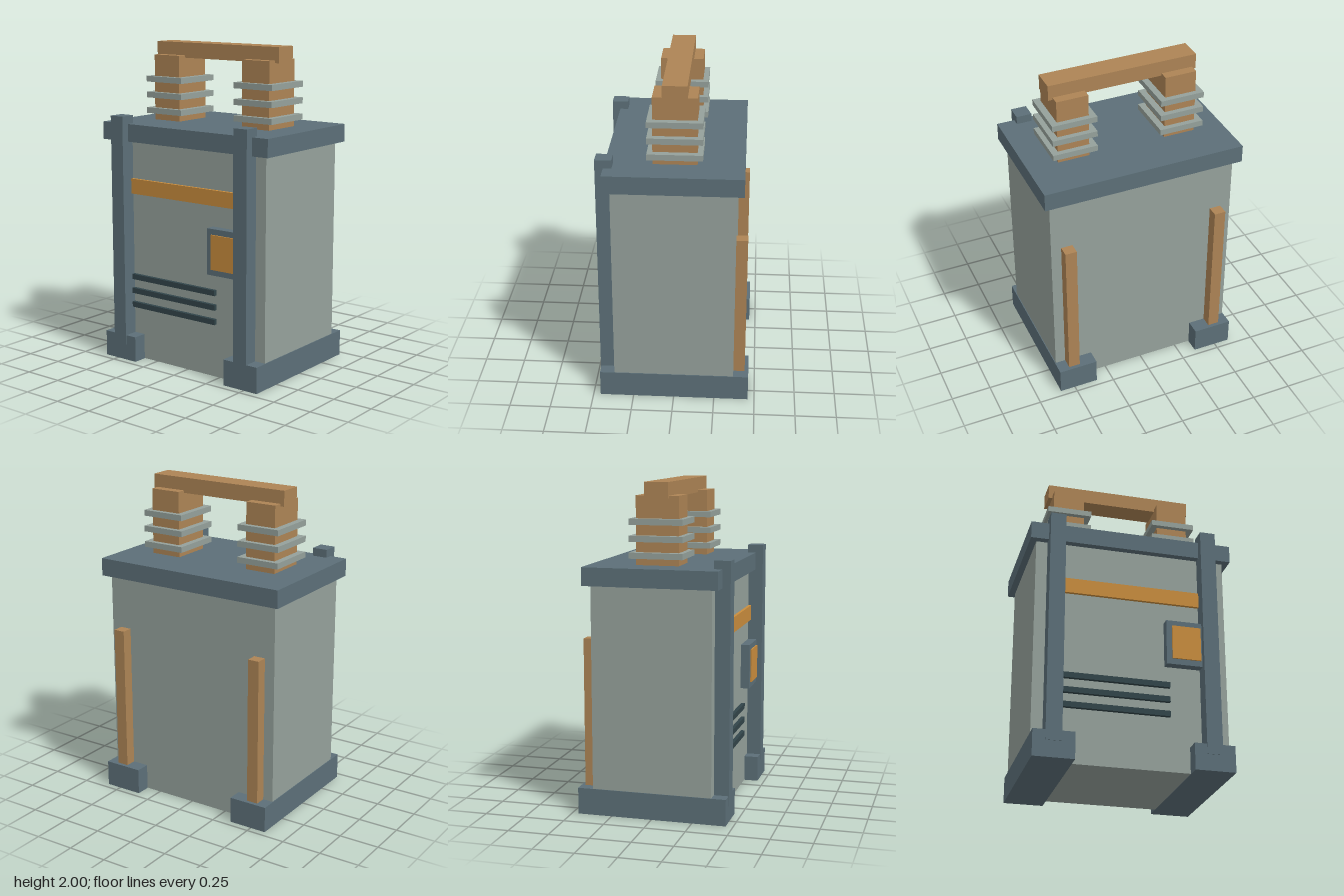
import * as THREE from 'three';

const material = (name, color) => {
  const m = new THREE.MeshStandardMaterial({ color });
  m.name = name;
  return m;
};

export function createModel() {
  const paleGrey = material('pale grey', 0x95a19b);
  const slate = material('slate', 0x5c6f78);
  const copper = material('copper', 0xad8455);
  const orange = material('orange', 0xc98d3d);
  const dark = material('dark vent', 0x32454a);

  const model = new THREE.Group();
  model.name = 'transformerCabinet';

  // Box given by its minimum and maximum on each axis
  const box = (name, mat, [x0, x1], [y0, y1], [z0, z1], parent = model) => {
    const mesh = new THREE.Mesh(new THREE.BoxGeometry(x1 - x0, y1 - y0, z1 - z0), mat);
    mesh.position.set((x0 + x1) / 2, (y0 + y1) / 2, (z0 + z1) / 2);
    mesh.name = name;
    parent.add(mesh);
    return mesh;
  };
  // Range from centre and half size
  const around = (c, h) => [c - h, c + h];

  // Cabinet and lid
  box('cabinet', paleGrey, [-0.595, 0.59], [0.002, 1.42], [-0.367, 0.367]);
  box('lid', slate, [-0.635, 0.63], [1.4, 1.51], [-0.41, 0.41]);

  for (const side of [-1, 1]) {
    const label = side > 0 ? 'left' : 'right';
    // Base runner, front post and rear pipe
    box(label + 'Runner', slate, around(side * 0.474 - 0.002, 0.123), [0, 0.162], [-0.46, 0.456]);
    box(label + 'FrontPost', slate, around(side * 0.474 - 0.003, 0.048), [0.1, 1.56], [0.36, 0.459]);
    box(label + 'RearPipe', copper, around(side * 0.492 - 0.002, 0.036), [0.15, 1.07], [-0.437, -0.36]);

    // Terminal with three insulator plates
    const terminal = new THREE.Group();
    terminal.name = label + 'Terminal';
    model.add(terminal);
    const x = side * 0.343 - 0.003;
    box('terminalCore', copper, around(x, 0.099), [1.5, 1.92], [-0.132, 0.13], terminal);
    for (const y of [1.569, 1.668, 1.768])
      box('insulatorPlate', paleGrey, around(x, 0.14), around(y, 0.018), [-0.165, 0.162], terminal);
  }

  // Bar joining the terminals
  box('topBar', copper, [-0.47, 0.465], [1.905, 2], [-0.074, 0.071]);

  // Front details: stripe, vents and control panel
  box('warningStripe', orange, [-0.47, 0.47], [1.07, 1.165], [0.36, 0.386]);
  for (const y of [0.353, 0.444, 0.535])
    box('vent', dark, [-0.47, 0.23], around(y, 0.017), [0.36, 0.39]);
  box('panelFrame', slate, [0.202, 0.448], [0.656, 0.94], [0.36, 0.423]);
  box('panelScreen', orange, [0.236, 0.414], [0.692, 0.905], [0.41, 0.432]);

  return model;
}
